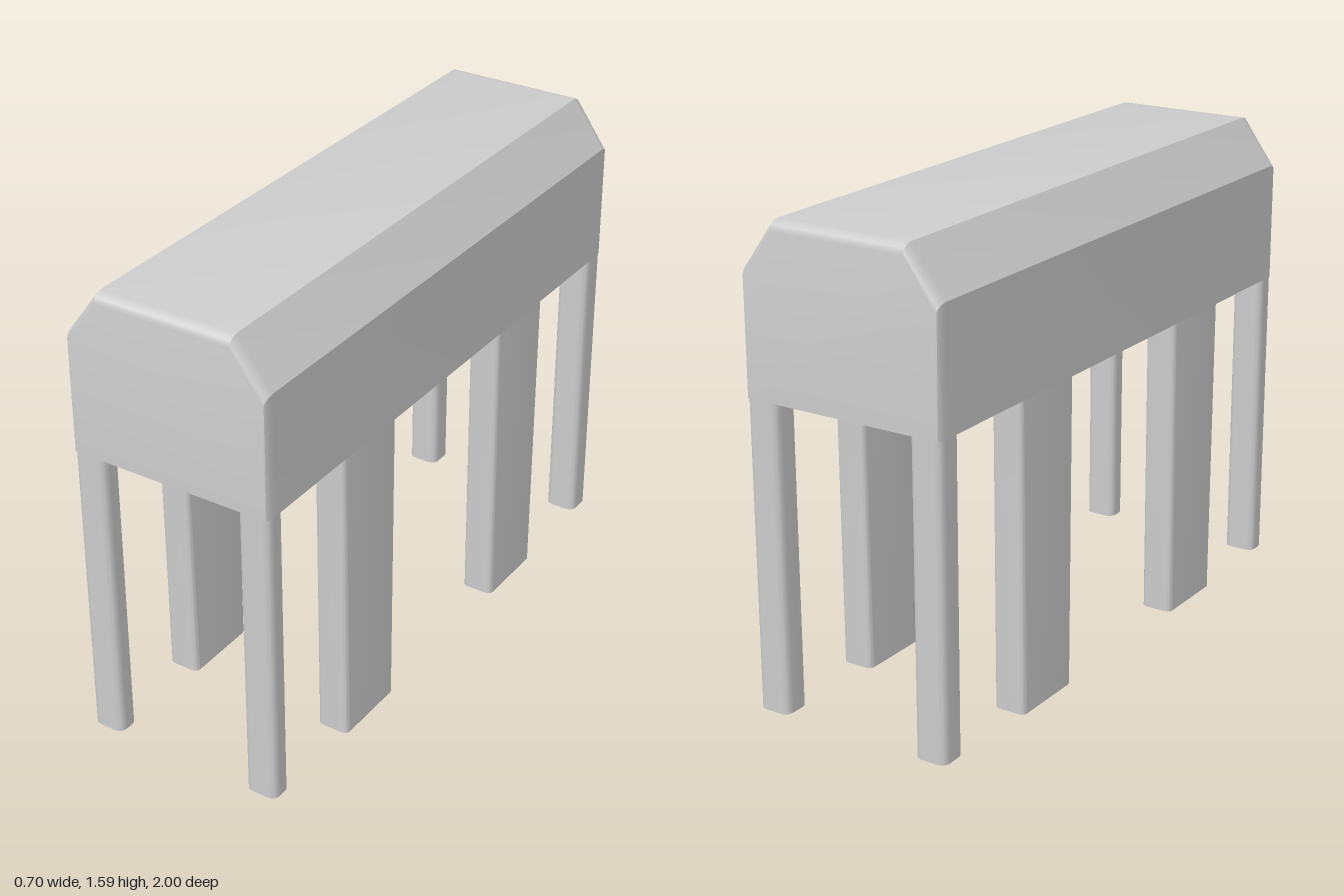
import * as THREE from 'three';
import { toCreasedNormals } from 'three/addons/utils/BufferGeometryUtils.js';

const material = new THREE.MeshStandardMaterial({ color: 0xcccccc });
const BASE = 1.03; // underside of the body

// Lofts chamfered cross-sections along z, open underneath; flip makes it an inner lining
function hull({ w, shoulder, topW, top, length, round, flip }) {
  const ends = [];
  const steps = round ? 5 : 0;
  for (let i = 0; i <= steps; i++) {
    const a = steps ? (i / steps) * Math.PI / 2 : 0;
    ends.push({ z: length - round * (1 - Math.sin(a)), inset: round * (1 - Math.cos(a)) * 0.8 });
  }
  const sections = [...ends].reverse().map(e => ({ z: -e.z, inset: e.inset })).concat(ends);
  const pos = [], idx = [];
  for (const { z, inset } of sections) {
    const x = w - inset * 0.3;
    const half = [[x, BASE], [x, shoulder - inset], [topW, top - inset]];
    const mirrored = half.map(([px, py]) => [-px, py]).reverse();
    for (const [px, py] of [...half, ...mirrored]) pos.push(px, py, z);
  }
  const tri = (a, b, c) => (flip ? idx.push(a, c, b) : idx.push(a, b, c));
  const last = (sections.length - 1) * 6;
  for (let i = 0; i < sections.length - 1; i++) {
    for (let j = 0; j < 5; j++) {
      const a = i * 6 + j;
      tri(a, a + 1, a + 7);
      tri(a, a + 7, a + 6);
    }
  }
  for (let j = 1; j < 5; j++) {
    tri(last, last + j, last + j + 1);
    tri(0, j + 1, j);
  }
  const g = new THREE.BufferGeometry();
  g.setAttribute('position', new THREE.Float32BufferAttribute(pos, 3));
  g.setIndex(idx);
  return toCreasedNormals(g, 0.5);
}

function roundedRect(w, d, r) {
  const x = w / 2, y = d / 2, s = new THREE.Shape();
  s.moveTo(-x + r, -y);
  s.lineTo(x - r, -y).quadraticCurveTo(x, -y, x, -y + r);
  s.lineTo(x, y - r).quadraticCurveTo(x, y, x - r, y);
  s.lineTo(-x + r, y).quadraticCurveTo(-x, y, -x, y - r);
  s.lineTo(-x, -y + r).quadraticCurveTo(-x, -y, -x + r, -y);
  return s;
}

// Upright leg with rounded edges, narrowing slightly towards the foot
function leg(width, depth, radius, foot, taper) {
  const g = new THREE.ExtrudeGeometry(roundedRect(width, depth, radius),
    { depth: BASE - foot, bevelEnabled: false, curveSegments: 6 });
  g.rotateX(-Math.PI / 2);
  g.translate(0, foot, 0);
  const p = g.attributes.position;
  for (let i = 0; i < p.count; i++) {
    const k = 1 - taper * (1 - p.getY(i) / BASE);
    p.setZ(i, p.getZ(i) * k);
  }
  return toCreasedNormals(g, 0.6);
}

export function createModel() {
  const model = new THREE.Group();
  const add = (name, geometry, parent = model) => {
    const mesh = new THREE.Mesh(geometry, material);
    mesh.name = name;
    parent.add(mesh);
    return mesh;
  };

  // Hollow chamfered body
  const body = new THREE.Group();
  body.name = 'body';
  model.add(body);
  add('outerShell', hull({ w: 0.35, shoulder: 1.43, topW: 0.235, top: 1.585, length: 1, round: 0.04 }), body);
  add('innerShell', hull({ w: 0.24, shoulder: 1.38, topW: 0.18, top: 1.475, length: 0.91, round: 0, flip: true }), body);

  // Downward-facing rim between the two shells
  const rimShape = roundedRect(0.7, 2, 0.012);
  rimShape.holes.push(new THREE.Path(roundedRect(0.48, 1.82, 0.001).getPoints(2)));
  const rim = new THREE.ShapeGeometry(rimShape);
  rim.rotateX(Math.PI / 2);
  rim.translate(0, BASE, 0);
  add('rim', rim, body);

  // Slim corner legs and broad middle legs: centre z, depth, corner radius, foot height, taper
  const legs = [
    ['frontCornerLeg', 0.96, 0.08, 0.03, 0.015, 0],
    ['frontMiddleLeg', 0.465, 0.29, 0.022, 0, 0.05],
    ['backMiddleLeg', -0.44, 0.29, 0.022, 0, 0.05],
    ['backCornerLeg', -0.95, 0.1, 0.03, 0.015, 0],
  ];
  for (const [name, z, depth, radius, foot, taper] of legs) {
    for (const side of [1, -1]) {
      const mesh = add(name + (side > 0 ? 'Left' : 'Right'), leg(0.11, depth, radius, foot, taper));
      mesh.position.set(side * 0.295, 0, z);
    }
  }
  return model;
}
